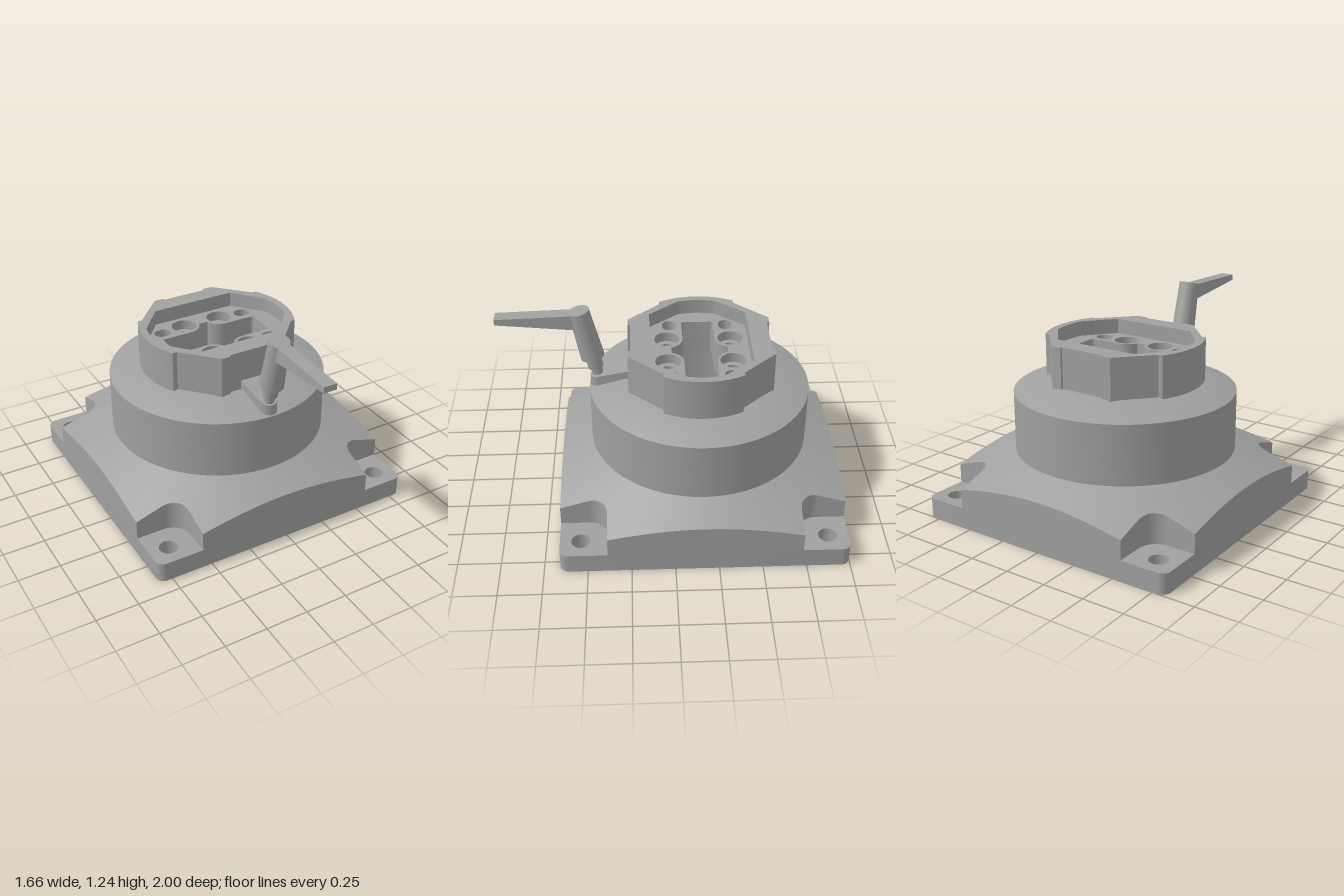
import * as THREE from 'three';
import { toCreasedNormals } from 'three/addons/utils/BufferGeometryUtils.js';

const CENTRE_Z = -0.17;
const metal = new THREE.MeshStandardMaterial({ color: 0xa0a0a0 });
metal.name = 'grey metal';

function add(parent, name, geometry) {
  const mesh = new THREE.Mesh(toCreasedNormals(geometry, 0.45), metal);
  mesh.name = name;
  parent.add(mesh);
  return mesh;
}

// points on an arc, angles in degrees
function arc(cx, cy, r, a0, a1, n) {
  const pts = [];
  for (let i = 0; i <= n; i++) {
    const a = THREE.MathUtils.degToRad(a0 + ((a1 - a0) * i) / n);
    pts.push([cx + r * Math.cos(a), cy + r * Math.sin(a)]);
  }
  return pts;
}

// mirrors a quarter outline into a full closed outline
function mirror4(q) {
  const flip = (sx, sy) => q.map(([x, y]) => [x * sx, y * sy]);
  return [...q, ...flip(-1, 1).reverse(), ...flip(-1, -1), ...flip(1, -1).reverse()];
}

const toVec = (pts) => pts.map(([x, y]) => new THREE.Vector2(x, y));
const roundSquare = (h, r) => mirror4(arc(h - r, h - r, r, 0, 90, 8));
const circle = (x, y, r) => arc(x, y, r, 0, 350, 35);

// horizontal plate between two heights
function plate(outline, holes, y0, y1) {
  const shape = new THREE.Shape(toVec(outline));
  holes.forEach((h) => shape.holes.push(new THREE.Path(toVec(h))));
  const g = new THREE.ExtrudeGeometry(shape, { depth: y1 - y0, bevelEnabled: false });
  return g.rotateX(-Math.PI / 2).translate(0, y0, 0);
}

// conical roof of the base, cut square with rounded corner pockets
const roofY = (r) => 0.37 - 0.39 * (r - 0.65);
function baseShell() {
  const quarter = [];
  for (let i = 0; i <= 16; i++) quarter.push([0.83, 0.005 + (0.55 * i) / 16]);
  for (let i = 1; i < 4; i++) quarter.push([0.83 - 0.055 * i, 0.555]);
  quarter.push(...arc(0.665, 0.665, 0.11, 270, 180, 10));
  for (let i = 1; i < 4; i++) quarter.push([0.555, 0.665 + 0.055 * i]);
  for (let i = 16; i >= 0; i--) quarter.push([0.005 + (0.55 * i) / 16, 0.83]);
  const outline = mirror4(quarter);
  const pos = [], index = [], K = 6, N = outline.length;
  outline.forEach(([x, z]) => {
    const r = Math.hypot(x, z);
    const ring = [
      [r, 0.12], [r, roofY(r)], [0.63, roofY(0.63)],
      [0.58, roofY(0.58) - 0.06], [r * 0.93, roofY(r * 0.93) - 0.06], [r * 0.93, 0.12],
    ];
    ring.forEach(([rr, y]) => pos.push((x / r) * rr, y, (z / r) * rr));
  });
  for (let i = 0; i < N; i++) {
    for (let j = 0; j < K; j++) {
      const i2 = (i + 1) % N, j2 = (j + 1) % K;
      const a = i * K + j, b = i * K + j2, c = i2 * K + j, d = i2 * K + j2;
      index.push(a, b, c, c, b, d);
    }
  }
  const g = new THREE.BufferGeometry();
  g.setAttribute('position', new THREE.Float32BufferAttribute(pos, 3));
  g.setIndex(index);
  return g;
}

function buildBase(parent) {
  add(parent, 'baseShell', baseShell());
  // rim with a seal groove underneath
  add(parent, 'outerRim', plate(roundSquare(0.83, 0.05), [roundSquare(0.805, 0.04)], 0, 0.12));
  add(parent, 'sealGroove', plate(roundSquare(0.805, 0.04), [roundSquare(0.793, 0.035)], 0.025, 0.12));
  add(parent, 'innerRim', plate(roundSquare(0.793, 0.035), [roundSquare(0.77, 0.03)], 0, 0.12));
  // drilled corner feet with stepped bosses
  for (const sx of [-1, 1]) {
    for (const sz of [-1, 1]) {
      const cx = 0.71 * sx, cz = 0.71 * sz;
      const hole = circle(cx, cz, 0.055);
      const pad = [[0.49, 0.49], [0.79, 0.49], [0.79, 0.79], [0.49, 0.79]].map(([x, z]) => [x * sx, z * sz]);
      add(parent, 'cornerFoot', plate(pad, [hole], 0.06, 0.12));
      add(parent, 'footBoss', plate(circle(cx, cz, 0.085), [hole], 0.002, 0.07));
      add(parent, 'footBossStep', plate(circle(cx, cz, 0.115), [hole], 0.03, 0.07));
    }
  }
  // stiffening ribs under the roof
  for (let i = 0; i < 8; i++) {
    const rib = add(parent, 'rib', new THREE.BoxGeometry(0.2, 0.24, 0.04).translate(0.68, 0.15, 0));
    rib.rotation.y = (i * Math.PI) / 4;
    if (i % 2) {
      const toe = add(parent, 'ribToe', new THREE.BoxGeometry(0.16, 0.07, 0.04).translate(0.84, 0.065, 0));
      toe.rotation.y = rib.rotation.y;
    }
  }
}

function buildCollar(parent) {
  const profile = [
    [0.53, 0.02], [0.6, 0.02], [0.6, 0.36], [0.64, 0.36], [0.64, 0.38], [0.65, 0.38], [0.65, 0.73],
    [0.45, 0.797], [0.38, 0.8], [0.38, 0.72], [0.53, 0.72], [0.53, 0.02],
  ];
  add(parent, 'collar', new THREE.LatheGeometry(toVec(profile), 96));
}

function buildHead(parent) {
  const outline = mirror4([
    ...arc(0, 0, 0.465, 1, 28.9, 10), [0.38, 0.225], [0.2, 0.42], [0.14, 0.42], [0.14, 0.405],
  ]);
  const recess = mirror4([...arc(0, 0, 0.42, 1, 16, 6), [0.26, 0.29]]);
  add(parent, 'headWall', plate(outline, [recess], 0.74, 1.04));

  // floor with central opening, slots and counterbored holes
  const opening = mirror4([
    ...arc(0.295, 0.08, 0.015, 0, 90, 4), ...arc(0.12, 0.19, 0.095, 270, 195, 10),
  ]);
  const slots = [], bores = [], drills = [];
  for (const sx of [-1, 1]) {
    for (const sz of [-1, 1]) {
      slots.push([
        ...arc(0.273 * sx + 0.01, 0.17 * sz, 0.042, -90, 90, 12),
        ...arc(0.273 * sx - 0.01, 0.17 * sz, 0.042, 90, 270, 12),
      ]);
      bores.push(circle(0.12 * sx, 0.188 * sz, 0.075));
      drills.push(circle(0.12 * sx, 0.188 * sz, 0.042));
    }
  }
  add(parent, 'floorTop', plate(recess, [opening, ...slots, ...bores], 0.89, 0.95));
  add(parent, 'floorBottom', plate(recess, [opening, ...slots, ...drills], 0.74, 0.89));
}

function buildLever(parent) {
  // sloped lug carrying the clamp
  const lug = plate(
    [[0.07, -0.2], [-0.07, -0.2], ...arc(0, -0.42, 0.053, 180, 360, 16)], [], 0.7, 0.85);
  const p = lug.attributes.position;
  for (let i = 0; i < p.count; i++) {
    if (p.getY(i) > 0.8) p.setY(i, 0.85 - 0.24 * (p.getZ(i) - 0.25));
  }
  add(parent, 'leverLug', lug);

  // tilted clamp post
  const post = new THREE.Group();
  post.name = 'clampPost';
  post.position.set(0, 0.8, 0.428);
  post.rotation.x = THREE.MathUtils.degToRad(12.5);
  parent.add(post);
  const stack = [
    ['postPin', 0.032, 0.032, -0.03, 0.06], ['postNeck', 0.045, 0.045, 0.05, 0.14],
    ['postGrip', 0.06, 0.07, 0.125, 0.437],
  ];
  for (const [name, rTop, rBottom, y0, y1] of stack) {
    add(post, name, new THREE.CylinderGeometry(rTop, rBottom, y1 - y0, 40).translate(0, (y0 + y1) / 2, 0));
  }

  // tapered handle
  const side = new THREE.Shape(toVec([[0.52, 1.12], [1, 1.165], [1, 1.2], [0.52, 1.216]]));
  const handle = new THREE.ExtrudeGeometry(side, { depth: 0.08, bevelEnabled: false });
  add(parent, 'leverHandle', handle.rotateY(-Math.PI / 2).translate(0.04, 0, 0));
}

export function createModel() {
  const model = new THREE.Group();
  model.name = 'clampingPedestal';
  const body = new THREE.Group();
  body.name = 'pedestal';
  body.position.z = CENTRE_Z;
  model.add(body);
  buildBase(body);
  buildCollar(body);
  buildHead(body);
  const lever = new THREE.Group();
  lever.name = 'clampLever';
  model.add(lever);
  buildLever(lever);
  return model;
}
